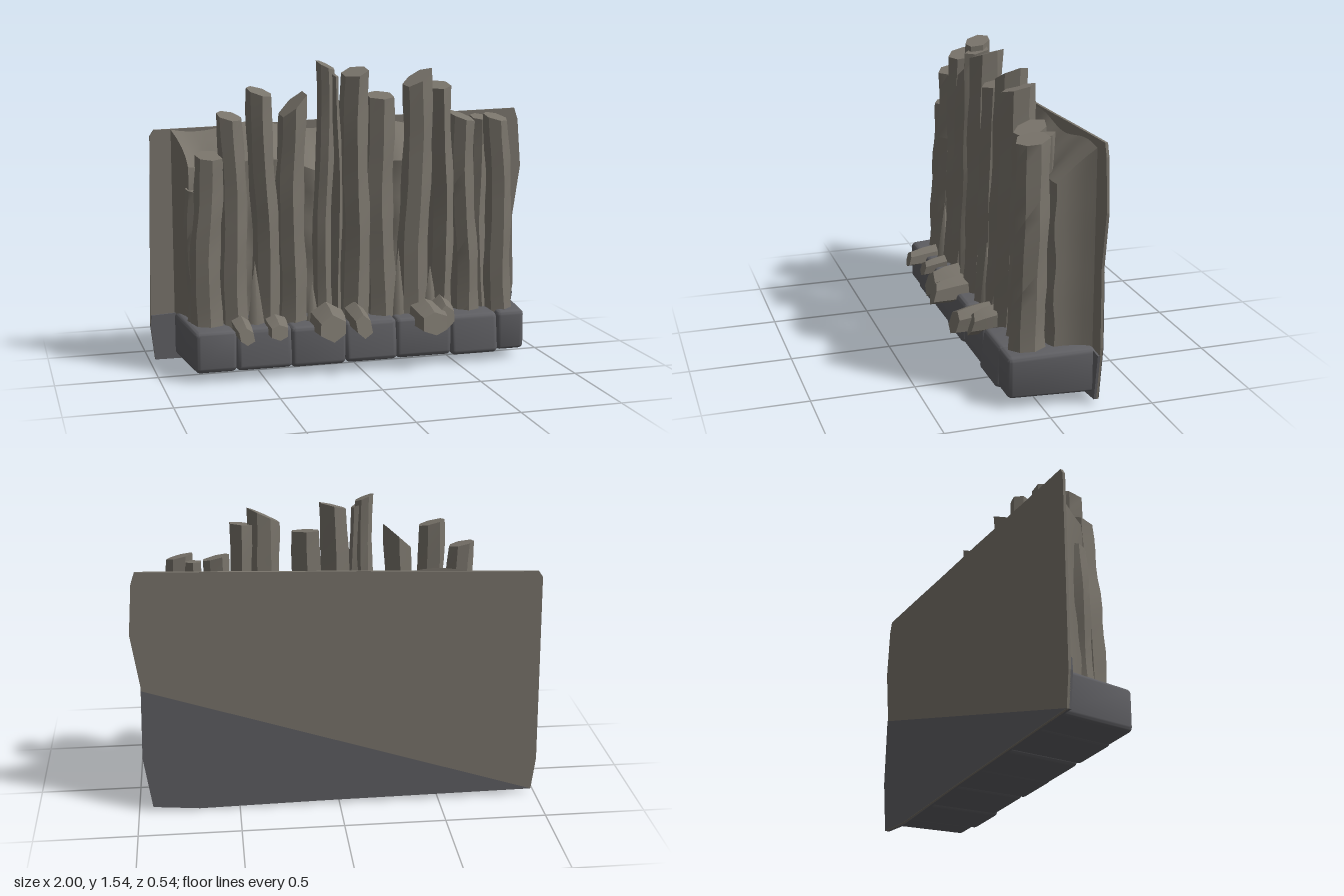
import * as THREE from 'three';
import { mergeVertices, toCreasedNormals } from 'three/addons/utils/BufferGeometryUtils.js';
import { RoundedBoxGeometry } from 'three/addons/geometries/RoundedBoxGeometry.js';

const rock = new THREE.MeshStandardMaterial({ color: 0x79746b, side: THREE.DoubleSide });
const dark = new THREE.MeshStandardMaterial({ color: 0x5f5f63, side: THREE.DoubleSide });

// Move every vertex by a rule, then keep hard edges sharp
function deform(geo, rule, crease = 0.6) {
  const p = geo.attributes.position, v = new THREE.Vector3();
  for (let i = 0; i < p.count; i++) {
    v.fromBufferAttribute(p, i);
    rule(v);
    p.setXYZ(i, v.x, v.y, v.z);
  }
  geo.deleteAttribute('uv');
  geo.deleteAttribute('normal');
  return toCreasedNormals(mergeVertices(geo, 1e-5).toNonIndexed(), crease);
}

function add(group, name, geo, mat) {
  const mesh = new THREE.Mesh(geo, mat);
  mesh.name = name;
  group.add(mesh);
  return mesh;
}

// Weathered many-sided stone column with a slanted top
function column({ x, w, top, z = -0.02, d = 0.17, lean = 0, slant = 0, tilt = 0.2, sides = 7, seed = 0 }) {
  const foot = 0.2, h = top - foot;
  return deform(new THREE.CylinderGeometry(1, 1, 1, sides, 12), (v) => {
    const a = Math.atan2(v.z, v.x), t = v.y + 0.5;
    const wobble = 1 + 0.06 * Math.sin(2 * a + seed) + 0.05 * Math.sin(t * 19 + a * 2 + seed * 3);
    const swell = t < 0.12 ? 1.12 - t : 1.02 - 0.07 * t;
    const cx = v.x * wobble * swell * w / 2, cz = v.z * wobble * swell * d / 2;
    const bow = 0.008 * Math.sin(t * 7 + seed);
    const crown = t * t * t * t;
    v.set(x + cx + lean * (t - 0.5) + bow, foot + t * h + crown * (slant * cx - tilt * cz), z + cz + 0.03 * (0.5 - t));
  });
}

// Stubby stone poking out of the plinth
function stub(x, y, front, w, h, seed) {
  const back = 0.08;
  return deform(new THREE.CylinderGeometry(1, 1, 1, 6, 2), (v) => {
    const a = Math.atan2(v.z, v.x), t = v.y + 0.5;
    const r = (1 + 0.1 * Math.sin(2 * a + seed)) * (1 - 0.2 * t * t);
    v.set(x + v.x * r * w / 2, y - v.z * r * h / 2 + 0.02 * (1 - t),
      back + t * (front - back) + 0.12 * t * v.z * h * Math.sign(v.y));
  }, 0.4);
}

export function createModel() {
  const model = new THREE.Group();

  // Thin backing slab with an irregular outline
  const outline = [[-0.98, 0.03], [-1, 0.2], [-0.99, 0.7], [-0.98, 1.17], [-0.96, 1.2], [-0.6, 1.21], [-0.1, 1.23],
    [0.3, 1.24], [0.6, 1.25], [0.96, 1.26], [0.98, 1.2], [1, 0.95], [0.96, 0.68], [0.97, 0.3], [0.93, 0.03], [0.7, 0.01], [0.1, 0.02]];
  const toShape = (pts) => new THREE.Shape(pts.map(([x, y]) => new THREE.Vector2(x, y)));
  const slab = add(model, 'backSlab', new THREE.ExtrudeGeometry(toShape(outline), { depth: 0.013, bevelEnabled: false }), rock);
  slab.position.z = -0.26;

  // Darker lower stone on both faces of the slab
  const lowerBack = add(model, 'darkBackFace', new THREE.ShapeGeometry(toShape([[-0.98, 0.03], [0.1, 0.02], [0.7, 0.01], [0.93, 0.03], [0.97, 0.3], [0.96, 0.66]])), dark);
  lowerBack.position.z = -0.262;
  const lowerFront = add(model, 'darkFrontStrip', new THREE.ExtrudeGeometry(
    toShape([[-0.98, 0.03], [-1, 0.2], [-0.995, 0.26], [-0.8, 0.27], [0.8, 0.27], [0.965, 0.26], [0.93, 0.03], [0.7, 0.005], [0.1, 0.02]]),
    { depth: 0.012, bevelEnabled: false }), dark);
  lowerFront.position.z = -0.25;

  // Rough wall behind the columns, with a sloping ledge up to the slab
  add(model, 'rearWall', deform(new THREE.BoxGeometry(1.64, 1, 0.18, 48, 14, 4), (v) => {
    const t = v.y + 0.5, b = 0.5 - v.z / 0.18;
    const dip = 0.08 * Math.exp(-(((v.x - 0.02) / 0.2) ** 2));
    const ledge = 1.04 + 0.17 * b - dip * (1 - b * b) + 0.02 * Math.sin(v.x * 11);
    const ripple = (1 - b) * (0.016 * Math.sin(v.x * 27) + 0.006 * Math.sin(t * 17 + v.x * 9));
    v.set(v.x * (1 + 0.07 * b * b), 0.15 + t * (ledge - 0.15), -0.075 - 0.175 * b + ripple);
  }), rock);

  // Row of columns
  const columns = new THREE.Group();
  columns.name = 'columns';
  model.add(columns);
  [
    { x: -0.8, w: 0.08, top: 0.92, z: -0.07, d: 0.1 },
    { x: -0.74, w: 0.15, top: 1.09, z: -0.02, lean: 0.03 },
    { x: -0.61, w: 0.14, top: 1.28, lean: -0.01, slant: -0.2 },
    { x: -0.455, w: 0.14, top: 1.395, z: -0.03, lean: -0.02, slant: -0.25 },
    { x: -0.32, w: 0.14, top: 1.33, lean: 0.02, slant: 0.9, sides: 6 },
    { x: -0.155, w: 0.09, top: 1.52, z: 0.0, d: 0.14, lean: 0.025, slant: -0.4 },
    { x: -0.1, w: 0.06, top: 1.48, z: 0.01, d: 0.13, slant: -0.5, sides: 5 },
    { x: 0.0, w: 0.15, top: 1.485, z: 0.0, lean: 0.02, slant: 0.25, sides: 6 },
    { x: 0.135, w: 0.15, top: 1.365, z: -0.01, sides: 6 },
    { x: 0.33, w: 0.16, top: 1.45, z: -0.01, lean: 0.03, slant: 0.5 },
    { x: 0.46, w: 0.13, top: 1.41, z: -0.01, slant: 0.1, sides: 6 },
    { x: 0.585, w: 0.14, top: 1.25, z: -0.025, lean: -0.02, slant: -0.25 },
    { x: 0.68, w: 0.09, top: 1.24, z: -0.05, d: 0.12, sides: 6 },
    { x: 0.765, w: 0.14, top: 1.245, z: 0.025, d: 0.16, lean: -0.02, slant: -0.2 },
  ].forEach((c, i) => add(columns, 'column', column({ ...c, seed: i * 1.7 }), rock));

  // Thin splinters in the cracks between columns
  for (const [x, top, w] of [[-0.52, 0.57, 0.05], [0.39, 0.5, 0.05], [-0.23, 0.45, 0.04], [0.22, 0.6, 0.04]]) {
    const splinter = add(model, 'splinter', new THREE.ConeGeometry(w, top - 0.22, 5), rock);
    splinter.position.set(x, (top + 0.22) / 2, 0.05);
  }

  // Plinth blocks, flaring slightly toward the back
  const plinth = new THREE.Group();
  plinth.name = 'plinth';
  model.add(plinth);
  const joints = [-0.835, -0.635, -0.36, -0.085, 0.18, 0.47, 0.72, 0.865];
  for (let i = 0; i < joints.length - 1; i++) {
    const w = joints[i + 1] - joints[i], mid = (joints[i + 1] + joints[i]) / 2;
    add(plinth, 'plinthBlock', deform(new RoundedBoxGeometry(w + 0.004, 0.22, 0.42, 3, 0.025), (v) => {
      const x = v.x + mid, back = (0.21 - v.z) / 0.42;
      const slope = v.y > 0 && v.z > 0.12 ? 0.015 : 0;
      v.set(x * (1 + 0.05 * back), v.y + 0.16 - slope + 0.004 * Math.sin(i * 2.3),
        v.z - 0.045 + (v.z > 0 ? 0.007 * Math.sin(i * 3.1 + v.y * 9) - (v.y > 0 ? 0.01 : 0) : 0));
    }), dark);
  }

  // Broken stubs along the front of the plinth
  [
    [-0.6, 0.24, 0.235, 0.1, 0.1], [-0.43, 0.24, 0.2, 0.11, 0.1], [-0.17, 0.25, 0.235, 0.19, 0.15],
    [-0.02, 0.255, 0.26, 0.11, 0.14], [0.35, 0.245, 0.26, 0.17, 0.15], [0.43, 0.26, 0.2, 0.12, 0.13],
  ].forEach((s, i) => add(model, 'stub', stub(...s, i * 2.1), rock));

  return model;
}
